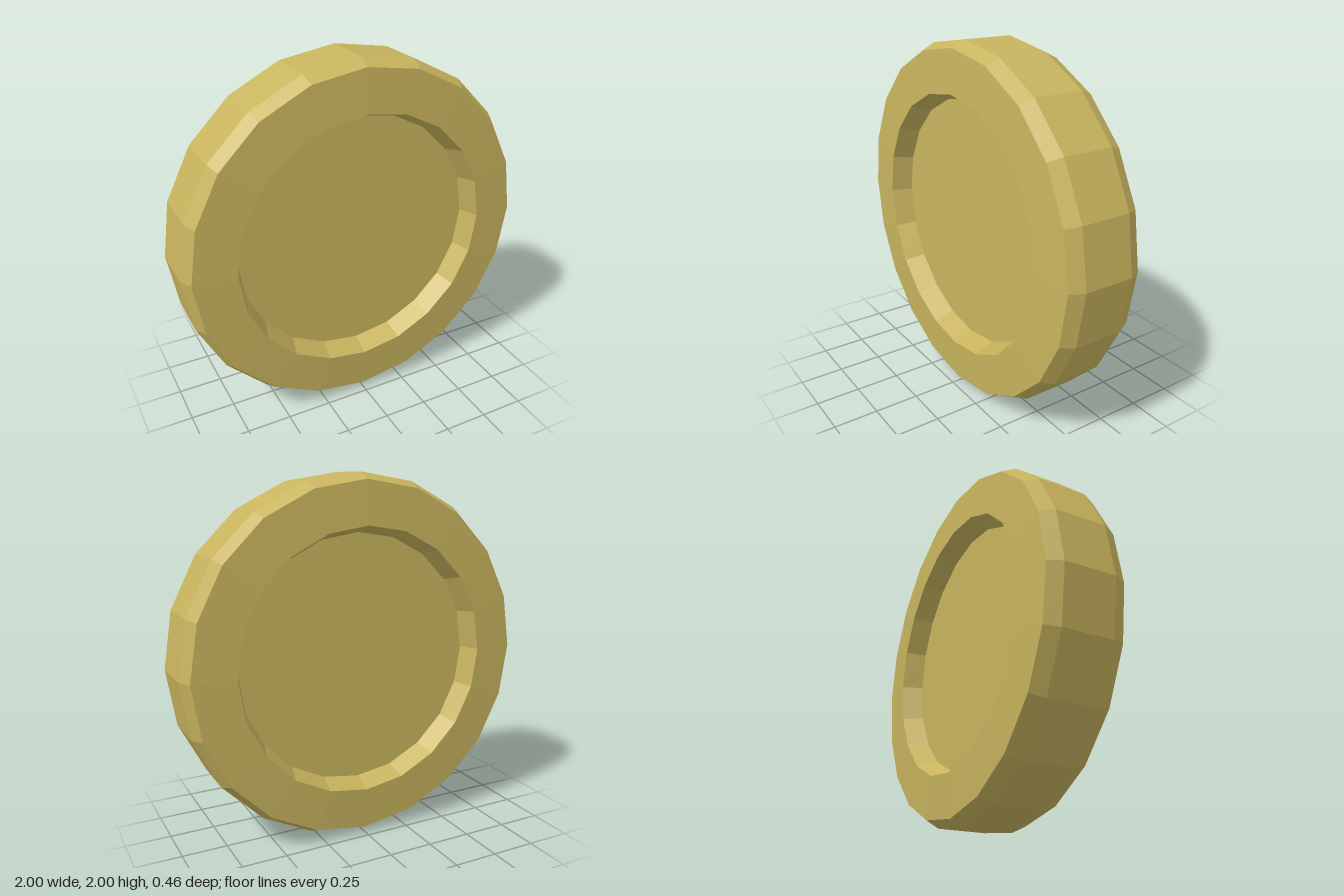
import * as THREE from 'three';

export function createModel() {
  const group = new THREE.Group();
  group.name = 'coin';
  const material = new THREE.MeshStandardMaterial({ color: 0xc8b45e, flatShading: true });

  // Half profile as [radius, z]: recessed floor, recess wall, rim, bevel, edge
  const half = [[0, 0.113], [0.69, 0.113], [0.73, 0.228], [0.963, 0.215], [1, 0.14]];
  const back = half.map(([r, z]) => new THREE.Vector2(r, -z));
  const front = half.map(([r, z]) => new THREE.Vector2(r, z)).reverse();

  // Twenty-sided disc, identical on both faces, standing on its edge
  const geometry = new THREE.LatheGeometry([...back, ...front], 20);
  geometry.rotateX(Math.PI / 2);
  const disc = new THREE.Mesh(geometry, material);
  disc.name = 'coinDisc';
  disc.position.y = 1;
  group.add(disc);
  return group;
}
